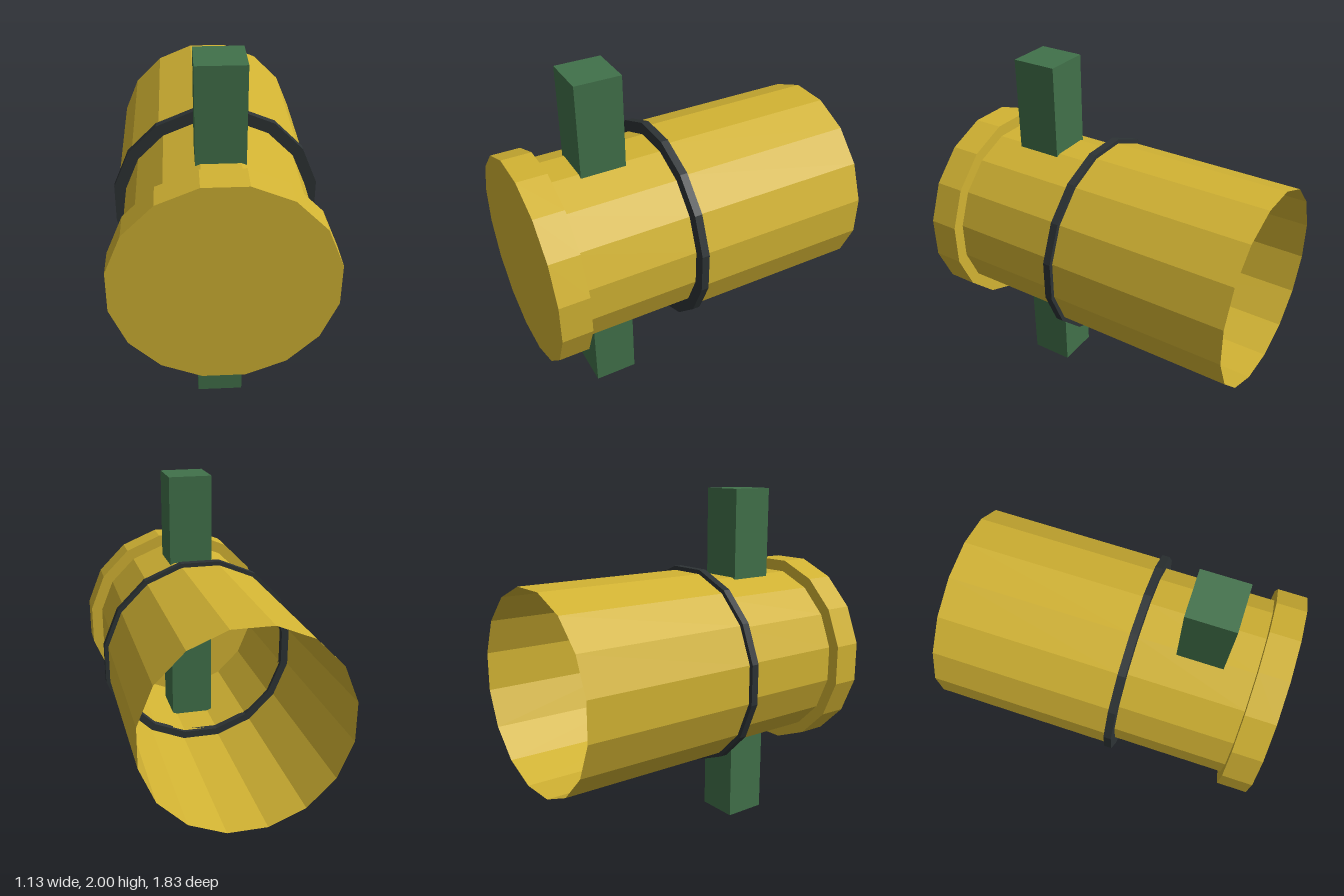
import * as THREE from 'three';

const SIDES = 16;
const HALF_STEP = Math.PI / SIDES; // turns a flat facet to the top and sides

export function createModel() {
  const model = new THREE.Group();
  const yellow = new THREE.MeshStandardMaterial({ color: 0xd2b333, flatShading: true, side: THREE.DoubleSide });
  const green = new THREE.MeshStandardMaterial({ color: 0x41714a, flatShading: true });
  const charcoal = new THREE.MeshStandardMaterial({ color: 0x2d3335, flatShading: true });
  yellow.name = 'yellow';
  green.name = 'green';
  charcoal.name = 'charcoal';

  const add = (name, geometry, material, y, z) => {
    const mesh = new THREE.Mesh(geometry, material);
    mesh.name = name;
    mesh.position.set(0, y, z);
    model.add(mesh);
  };

  // Faceted cylinder lying along z; apothem is the distance to a flat side
  const drum = (name, apothem, z0, z1, open) => {
    const r = apothem / Math.cos(HALF_STEP);
    const g = new THREE.CylinderGeometry(r, r, z1 - z0, SIDES, 1, open, HALF_STEP);
    add(name, g.rotateX(Math.PI / 2), yellow, 1, (z0 + z1) / 2);
  };

  // Barrel, open at the back
  drum('rearTube', 0.542, -0.915, 0.085, true);
  drum('frontTube', 0.5, 0.105, 0.76, true);
  drum('frontCap', 0.565, 0.75, 0.915, false);

  // Dark ring between the two tubes
  const k = 1 / Math.cos(HALF_STEP);
  const profile = [[0.5, -1], [0.565, -1], [0.565, 1], [0.5, 1], [0.5, -1]]
    .map(([r, s]) => new THREE.Vector2(r * k, s * 0.021));
  const ring = new THREE.LatheGeometry(profile, SIDES, HALF_STEP);
  add('ring', ring.rotateX(Math.PI / 2), charcoal, 1, 0.104);

  // Square bar crossing the front tube
  add('crossBar', new THREE.BoxGeometry(0.25, 2, 0.25), green, 1, 0.46);

  return model;
}
